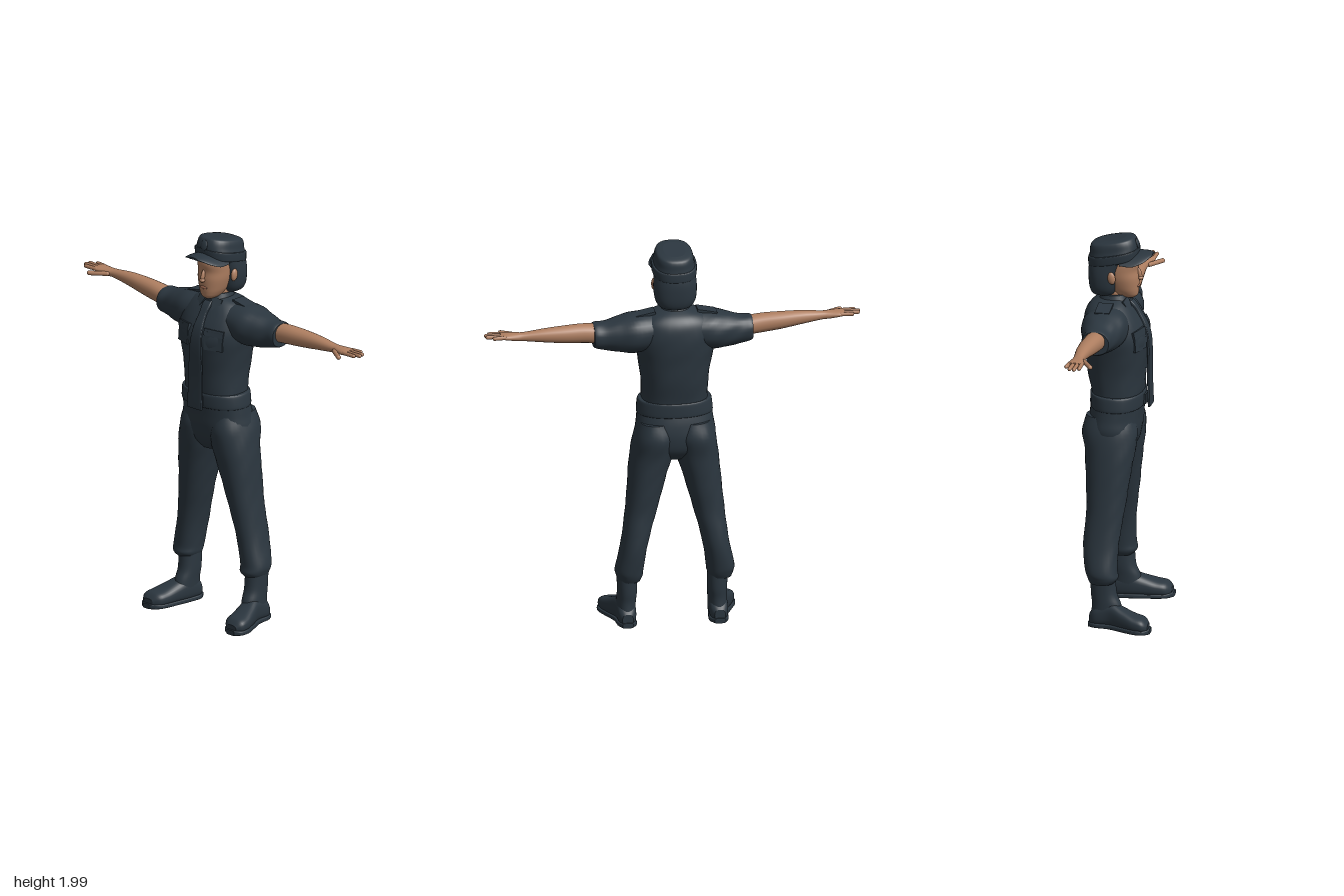
import * as THREE from 'three';

const paint = (name, color) => {
  const m = new THREE.MeshStandardMaterial({ color });
  m.name = name;
  return m;
};

// Catmull-Rom value between b and c
const spline = (a, b, c, d, t) =>
  b + 0.5 * t * (c - a + t * (2 * a - 5 * b + 4 * c - d + t * (3 * (b - c) + d - a)));

// Smooth skin over rounded cross-sections. Row: [t, aMin, aMax, bMin, bMax]
// axis y: a = x, b = z; axis x: a = y, b = z; axis z: a = x, b = y
function loft(axis, rows, { n = 2.2, seg = 32, sub = 5, fold = 0, bend } = {}) {
  const rings = [];
  rows.forEach((row, i) => {
    if (i === rows.length - 1) return rings.push(row);
    const p = rows[Math.max(i - 1, 0)], q = rows[i + 1], r = rows[Math.min(i + 2, rows.length - 1)];
    for (let s = 0; s < sub; s++) rings.push(row.map((v, k) => spline(p[k], v, q[k], r[k], s / sub)));
  });
  const pos = [], idx = [];
  const put = (t, a, b) => {
    const v = axis === 'y' ? new THREE.Vector3(a, t, b)
      : axis === 'x' ? new THREE.Vector3(t, a, b) : new THREE.Vector3(a, b, t);
    if (bend) bend(v);
    return pos.push(v.x, v.y, v.z) / 3 - 1;
  };
  const flip = (axis === 'y') !== (rows[rows.length - 1][0] < rows[0][0]);
  const tri = (a, b, c) => flip ? idx.push(a, c, b) : idx.push(a, b, c);
  const power = (v) => Math.sign(v) * Math.abs(v) ** (2 / n);
  const ring = ([t, a0, a1, b0, b1]) => {
    const first = pos.length / 3;
    for (let j = 0; j < seg; j++) {
      const g = (j / seg) * Math.PI * 2;
      const k = 0.5 + 0.5 * fold * Math.sin(5 * g + 31 * t) * Math.sin(17 * t + 2 * g);
      put(t, (a0 + a1) / 2 + (a1 - a0) * k * power(Math.cos(g)),
        (b0 + b1) / 2 + (b1 - b0) * k * power(Math.sin(g)));
    }
    return first;
  };
  const starts = rings.map(ring);
  for (let i = 0; i < starts.length - 1; i++) for (let j = 0; j < seg; j++) {
    const k = (j + 1) % seg, s = starts[i], e = starts[i + 1];
    tri(s + j, s + k, e + k);
    tri(s + j, e + k, e + j);
  }
  [rings[0], rings[rings.length - 1]].forEach((r, end) => {
    const s = ring(r), c = put(r[0], (r[1] + r[2]) / 2, (r[3] + r[4]) / 2);
    for (let j = 0; j < seg; j++) {
      const k = (j + 1) % seg;
      if (end) tri(c, s + j, s + k); else tri(c, s + k, s + j);
    }
  });
  const geo = new THREE.BufferGeometry();
  geo.setAttribute('position', new THREE.Float32BufferAttribute(pos, 3));
  geo.setIndex(idx);
  geo.computeVertexNormals();
  return geo;
}

export function createModel() {
  const cloth = paint('dark uniform', 0x2b363f);
  const skin = paint('skin', 0xaf7f61);
  const lip = paint('lips', 0x99664f);
  const model = new THREE.Group();
  const add = (name, geo, mat, x = 0, y = 0, z = 0, rx = 0, ry = 0, rz = 0) => {
    const m = new THREE.Mesh(geo, mat);
    m.name = name;
    m.position.set(x, y, z);
    m.rotation.set(rx, ry, rz);
    model.add(m);
    return m;
  };
  const ball = (name, mat, x, y, z, sx, sy, sz, rx = 0) =>
    add(name, new THREE.SphereGeometry(1, 20, 14), mat, x, y, z, rx).scale.set(sx, sy, sz);
  const finger = (name, a, b, r) => {
    const p = new THREE.Vector3(...a), q = new THREE.Vector3(...b), d = q.clone().sub(p);
    const m = add(name, new THREE.CapsuleGeometry(r, d.length() - r, 4, 10), skin);
    m.position.copy(p.add(q).multiplyScalar(0.5));
    m.quaternion.setFromUnitVectors(new THREE.Vector3(0, 1, 0), d.normalize());
  };
  // rows with symmetric width: [y, halfWidth, zBack, zFront]
  const even = (rows) => rows.map(([y, w, b, f]) => [y, -w, w, b, f]);
  const cx = -0.016, hx = -0.01;

  // Shirt, belt and seat of the trousers
  add('shirt', loft('y', even([
    [1.14, 0.17, -0.15, 0.1], [1.2, 0.167, -0.155, 0.108], [1.3, 0.17, -0.175, 0.115],
    [1.4, 0.185, -0.186, 0.126], [1.48, 0.2, -0.195, 0.13], [1.55, 0.205, -0.195, 0.105],
    [1.61, 0.19, -0.183, 0.07], [1.65, 0.14, -0.155, 0.04], [1.675, 0.07, -0.11, 0.015],
  ]), { n: 2.3, fold: 0.012 }), cloth, cx);
  add('belt', loft('y', even([
    [1.115, 0.187, -0.155, 0.108], [1.125, 0.193, -0.16, 0.113],
    [1.18, 0.187, -0.16, 0.115], [1.19, 0.18, -0.155, 0.11],
  ])), cloth, cx);
  add('buckle', new THREE.BoxGeometry(0.07, 0.05, 0.012), cloth, cx, 1.15, 0.117);
  add('trouserSeat', loft('y', even([
    [0.88, 0.06, -0.11, 0.05], [0.93, 0.17, -0.155, 0.08], [1, 0.203, -0.17, 0.095],
    [1.07, 0.195, -0.165, 0.1], [1.13, 0.188, -0.152, 0.105],
  ]), { fold: 0.01 }), cloth, cx);

  // Collar, tie and shirt details
  add('collar', loft('y', even([
    [1.635, 0.088, -0.13, 0.045], [1.665, 0.076, -0.12, 0.032], [1.695, 0.066, -0.108, 0.018],
  ])), cloth, cx);
  add('tie', loft('y', even([
    [1.115, 0.045, 0.132, 0.146], [1.13, 0.048, 0.132, 0.147], [1.28, 0.046, 0.128, 0.142],
    [1.44, 0.038, 0.126, 0.142], [1.53, 0.03, 0.105, 0.126], [1.6, 0.022, 0.068, 0.09],
    [1.64, 0.026, 0.035, 0.065], [1.66, 0.022, 0.02, 0.045],
  ]), { n: 5 }), cloth, cx + 0.006);

  for (const s of [1, -1]) {
    const side = s > 0 ? 'left' : 'right';
    const mirror = (rows) => rows.map(([t, a, b, c, d]) => s > 0 ? [t, a, b, c, d] : [t, -b, -a, c, d]);

    const flap = new THREE.Shape([[0.008, 0.04], [0.075, 0.035], [0.082, -0.02], [0.05, -0.05]]
      .map(([x, y]) => new THREE.Vector2(x * s, y)));
    add(side + 'CollarFlap', new THREE.ExtrudeGeometry(flap, { depth: 0.014, bevelEnabled: false }),
      cloth, cx, 1.645, 0.04, -0.6, s * 0.25);
    add(side + 'Pocket', new THREE.BoxGeometry(0.1, 0.095, 0.016), cloth, cx + s * 0.1, 1.48, 0.103, -0.08, s * 0.36);
    add(side + 'PocketFlap', new THREE.BoxGeometry(0.106, 0.034, 0.016), cloth, cx + s * 0.1, 1.522, 0.1, -0.2, s * 0.36);
    add(side + 'ShoulderStrap', new THREE.BoxGeometry(0.1, 0.014, 0.075), cloth, cx + s * 0.155, 1.654, -0.065, 0, 0, -s * 0.2);

    // Arm: the right one is held slightly higher
    const lift = (x) => s > 0 ? 0 : Math.min(0.028, Math.max(0, 0.09 * (x - 0.4)));
    const arm = (rows) => rows.map(([x, a, b, c, d]) => [s * x, a + lift(x), b + lift(x), c, d]);
    add(side + 'Sleeve', loft('x', arm([
      [0.08, 1.48, 1.655, -0.165, 0.05], [0.19, 1.455, 1.655, -0.175, 0.06],
      [0.27, 1.46, 1.636, -0.157, 0.04], [0.34, 1.473, 1.618, -0.138, 0.017],
      [0.385, 1.482, 1.615, -0.134, 0.012], [0.4, 1.49, 1.61, -0.13, 0.008],
    ]), { fold: 0.02 }), cloth);
    add(side + 'Arm', loft('x', arm([
      [0.36, 1.51, 1.605, -0.115, -0.01], [0.45, 1.516, 1.612, -0.112, -0.014],
      [0.55, 1.522, 1.608, -0.112, -0.024], [0.65, 1.532, 1.6, -0.106, -0.034],
      [0.75, 1.543, 1.587, -0.095, -0.042], [0.79, 1.546, 1.586, -0.097, -0.034],
      [0.84, 1.554, 1.586, -0.104, -0.022], [0.868, 1.56, 1.583, -0.1, -0.024],
    ]), { seg: 20 }), skin);
    const u = lift(1);
    [[-0.094, 0.908, -0.1], [-0.073, 0.94, -0.076], [-0.052, 0.945, -0.053], [-0.032, 0.925, -0.03]]
      .forEach(([z, x, z2], i) => finger(side + 'Finger' + (i + 1),
        [s * 0.845, 1.572 + u, z], [s * x, 1.573 + u, z2], 0.01));
    finger(side + 'Thumb', [s * 0.775, 1.564 + u, -0.04], [s * 0.862, 1.562 + u, 0.016], 0.012);

    // Trouser leg, bloused over the boot
    add(side + 'TrouserLeg', loft('y', mirror([
      [0.235, 0.175, 0.285, -0.12, 0], [0.262, 0.162, 0.296, -0.133, 0.022],
      [0.3, 0.158, 0.3, -0.143, 0.018], [0.4, 0.144, 0.278, -0.157, 0.02],
      [0.5, 0.122, 0.262, -0.156, 0.028], [0.6, 0.094, 0.25, -0.15, 0.042],
      [0.7, 0.066, 0.24, -0.155, 0.056], [0.8, 0.038, 0.232, -0.16, 0.07],
      [0.9, 0.008, 0.222, -0.168, 0.085], [1, -0.004, 0.206, -0.187, 0.092],
      [1.08, 0.02, 0.18, -0.165, 0.07],
    ]), { fold: 0.022 }), cloth, -0.012);

    // Boot
    add(side + 'BootShaft', loft('y', mirror([
      [0.05, 0.185, 0.28, -0.118, 0.05], [0.12, 0.182, 0.278, -0.112, 0.035],
      [0.18, 0.178, 0.277, -0.118, 0.012], [0.28, 0.178, 0.28, -0.12, 0.005],
    ])), cloth);
    add(side + 'BootFoot', loft('z', mirror([
      [-0.122, 0.205, 0.26, 0.01, 0.07], [-0.09, 0.186, 0.278, 0.005, 0.11],
      [-0.02, 0.184, 0.286, 0.005, 0.135], [0.05, 0.197, 0.315, 0.005, 0.11],
      [0.11, 0.208, 0.338, 0.005, 0.088], [0.16, 0.222, 0.342, 0.005, 0.076],
      [0.187, 0.255, 0.318, 0.01, 0.05],
    ]), { n: 2.6 }), cloth);
    add(side + 'BootSole', loft('z', mirror([
      [-0.128, 0.205, 0.26, 0, 0.026], [-0.09, 0.183, 0.28, 0, 0.026],
      [-0.02, 0.187, 0.288, 0, 0.026], [0.06, 0.198, 0.322, 0, 0.026],
      [0.12, 0.207, 0.346, 0, 0.026], [0.17, 0.225, 0.344, 0, 0.026],
      [0.197, 0.262, 0.314, 0, 0.026],
    ]), { n: 5 }), cloth);

    ball(side + 'Ear', skin, hx + s * 0.1, 1.798, -0.04, 0.013, 0.032, 0.02, -0.15);
  }

  // Head
  add('neck', new THREE.CylinderGeometry(0.052, 0.058, 0.16, 24), skin, hx, 1.675, -0.045);
  add('head', loft('y', even([
    [1.674, 0.022, -0.02, 0.055], [1.688, 0.042, -0.04, 0.073], [1.71, 0.057, -0.06, 0.078],
    [1.735, 0.068, -0.08, 0.08], [1.78, 0.081, -0.1, 0.081], [1.82, 0.086, -0.11, 0.076],
    [1.86, 0.087, -0.11, 0.081], [1.9, 0.082, -0.1, 0.072],
  ])), skin, hx);
  ball('noseBridge', skin, hx, 1.8, 0.08, 0.01, 0.034, 0.014, -0.3);
  ball('noseTip', skin, hx, 1.778, 0.087, 0.015, 0.011, 0.014);
  ball('mouth', lip, hx, 1.738, 0.077, 0.024, 0.008, 0.008);
  add('hair', loft('y', even([
    [1.685, 0.04, -0.135, -0.055], [1.698, 0.078, -0.156, -0.034], [1.73, 0.1, -0.168, -0.018],
    [1.78, 0.108, -0.173, -0.006], [1.83, 0.107, -0.173, 0.006], [1.89, 0.1, -0.165, 0.04],
  ]), { n: 2.4 }), cloth, hx);

  // Cap, tipped up toward the front
  const tip = (v) => { v.y += 0.2 * (v.z + 0.05); };
  add('capCrown', loft('y', even([
    [1.862, 0.102, -0.17, 0.07], [1.9, 0.106, -0.17, 0.076], [1.93, 0.099, -0.168, 0.074],
    [1.958, 0.094, -0.166, 0.064], [1.974, 0.084, -0.156, 0.05], [1.981, 0.055, -0.125, 0.015],
  ]), { n: 2.5, bend: tip }), cloth, hx);
  add('capBand', loft('y', even([
    [1.868, 0.109, -0.173, 0.077], [1.875, 0.112, -0.175, 0.08],
    [1.908, 0.113, -0.175, 0.082], [1.914, 0.108, -0.172, 0.078],
  ]), { n: 2.5, bend: tip }), cloth, hx);
  add('capBill', loft('z', [
    [0.0, -0.108, 0.108, 1.905, 1.917], [0.06, -0.112, 0.112, 1.907, 1.919], [0.1, -0.098, 0.098, 1.908, 1.92],
    [0.13, -0.072, 0.072, 1.906, 1.918], [0.152, -0.03, 0.03, 1.904, 1.914],
  ], { n: 3, bend: (v) => { v.y -= 3.6 * v.x * v.x; } }), cloth, hx);
  ball('capBadge', cloth, hx, 1.958, 0.073, 0.022, 0.028, 0.008, -0.3);
  return model;
}
